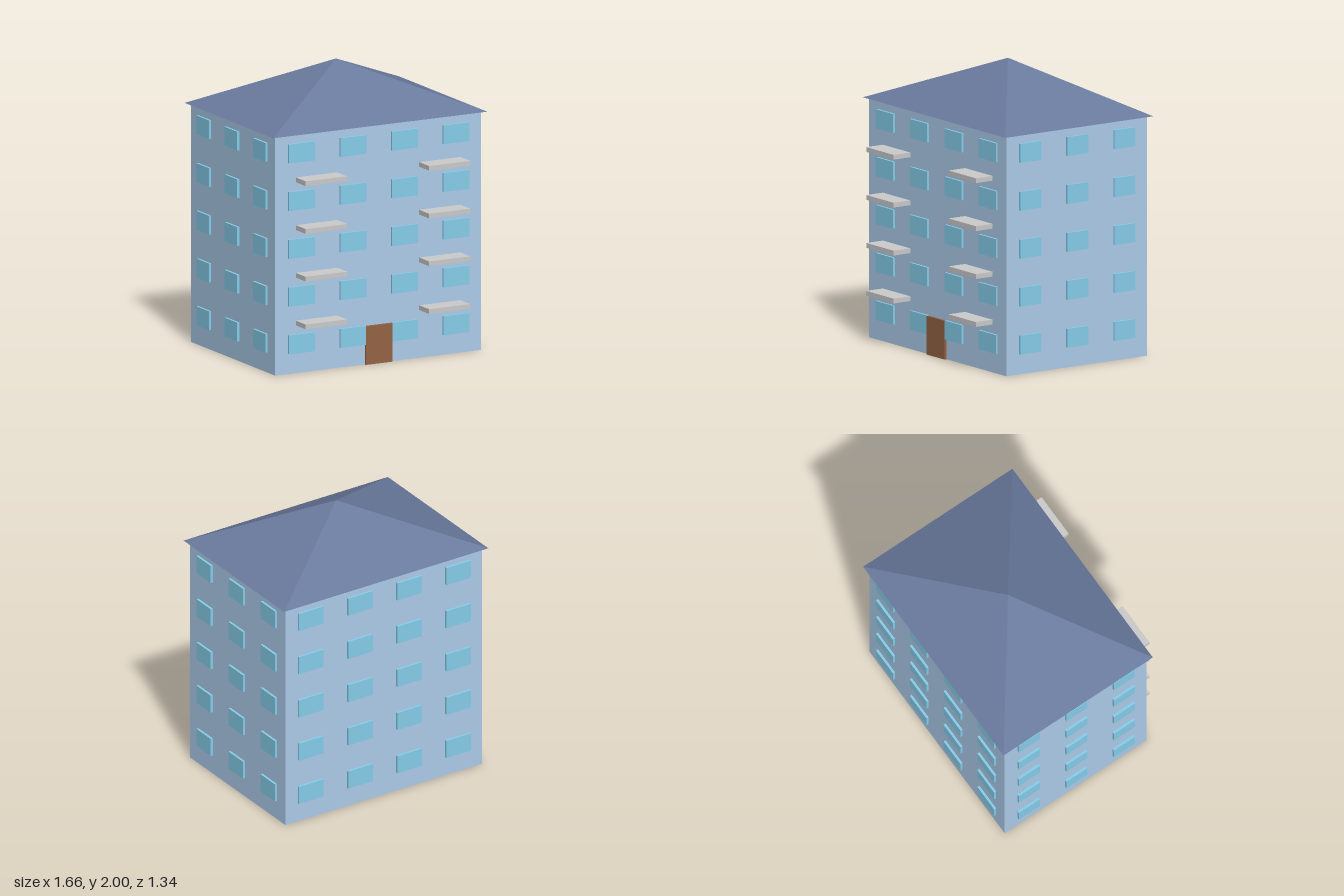
import * as THREE from 'three';

const W = 1.6, H = 1.66, D = 1.173, CZ = -0.0515; // wall block
const FLOORS = 5, PITCH = 0.332, SILL = 0.205, PROUD = 0.0165;

const mat = (color) => new THREE.MeshStandardMaterial({ color, flatShading: true });

function box(parent, name, size, pos, material) {
  const mesh = new THREE.Mesh(new THREE.BoxGeometry(...size), material);
  mesh.name = name;
  mesh.position.set(...pos);
  parent.add(mesh);
  return mesh;
}

export function createModel() {
  const building = new THREE.Group();
  building.name = 'apartmentBuilding';
  const wall = mat(0xaecdec), slate = mat(0x6a7a9e), glass = mat(0x87ceeb);
  const wood = mat(0x956445), concrete = mat(0xcccccc);

  box(building, 'walls', [W, H, D], [0, H / 2, CZ], wall);

  // Pyramid roof: a four-sided cone turned square to the walls, with overhanging eaves
  const roofGeo = new THREE.ConeGeometry(Math.SQRT1_2, 0.34, 4);
  roofGeo.rotateY(Math.PI / 4);
  roofGeo.scale(1.662, 1, 1.235);
  const roof = new THREE.Mesh(roofGeo, slate);
  roof.name = 'roof';
  roof.position.set(0, H + 0.17, CZ);
  building.add(roof);

  // Windows: four per floor on front and back, three per floor on each side
  const windows = new THREE.Group();
  windows.name = 'windows';
  building.add(windows);
  for (let floor = 0; floor < FLOORS; floor++) {
    const y = SILL + floor * PITCH;
    for (const side of [-1, 1]) {
      for (const x of [-0.6, -0.2, 0.2, 0.6])
        box(windows, side > 0 ? 'frontWindow' : 'backWindow', [0.2, 0.131, PROUD * 2], [x, y, CZ + side * D / 2], glass);
      for (const dz of [-0.393, 0, 0.393])
        box(windows, side > 0 ? 'leftWindow' : 'rightWindow', [PROUD * 2, 0.131, 0.175], [side * W / 2, y, CZ + dz], glass);
    }
  }

  // Front door
  box(building, 'door', [0.206, 0.268, 0.036], [0, 0.134, CZ + D / 2], wood);

  // Balcony slabs between floors
  const balconies = new THREE.Group();
  balconies.name = 'balconies';
  building.add(balconies);
  for (let floor = 0; floor < FLOORS - 1; floor++)
    for (const side of [-1, 1])
      box(balconies, 'balcony', [0.32, 0.033, 0.14], [side * 0.479, 0.348 + floor * PITCH, CZ + D / 2 + 0.068], concrete);

  return building;
}
